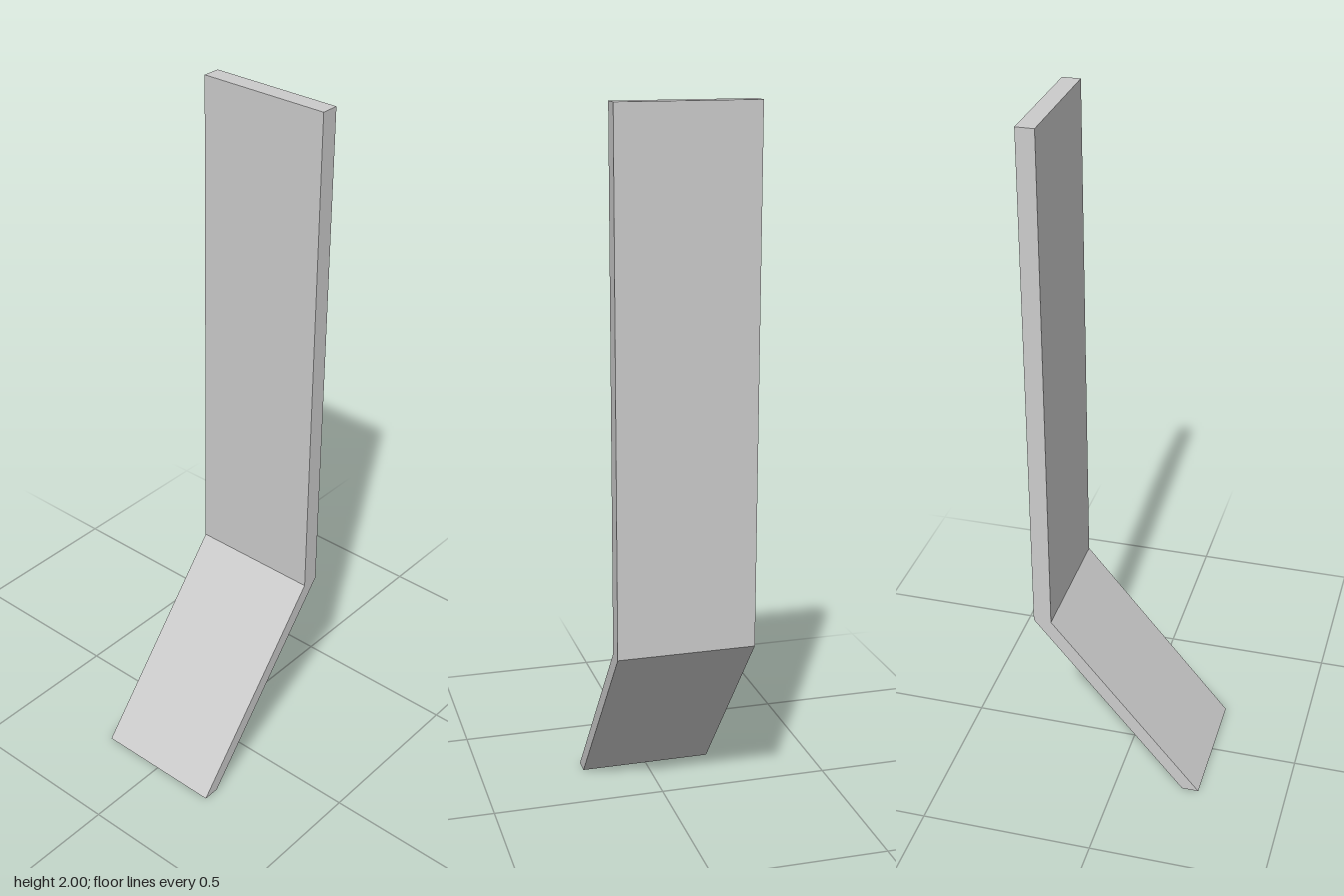
import * as THREE from 'three';

const WIDTH = 0.387;

export function createModel() {
  const group = new THREE.Group();
  group.name = 'bentPanel';

  // Side profile: upright plate on a slanted foot
  const profile = new THREE.Shape([
    [-0.246, 0], [-0.197, 0], [0.246, 0.536],
    [0.246, 2], [0.195, 2], [0.195, 0.536],
  ].map(([x, y]) => new THREE.Vector2(x, y)));

  // Extrude across the width and centre on z
  const geometry = new THREE.ExtrudeGeometry(profile, { depth: WIDTH, bevelEnabled: false });
  geometry.translate(0, 0, -WIDTH / 2);

  const panel = new THREE.Mesh(
    geometry,
    new THREE.MeshStandardMaterial({ color: 0xcccccc, flatShading: true })
  );
  panel.name = 'panel';
  group.add(panel);
  return group;
}
